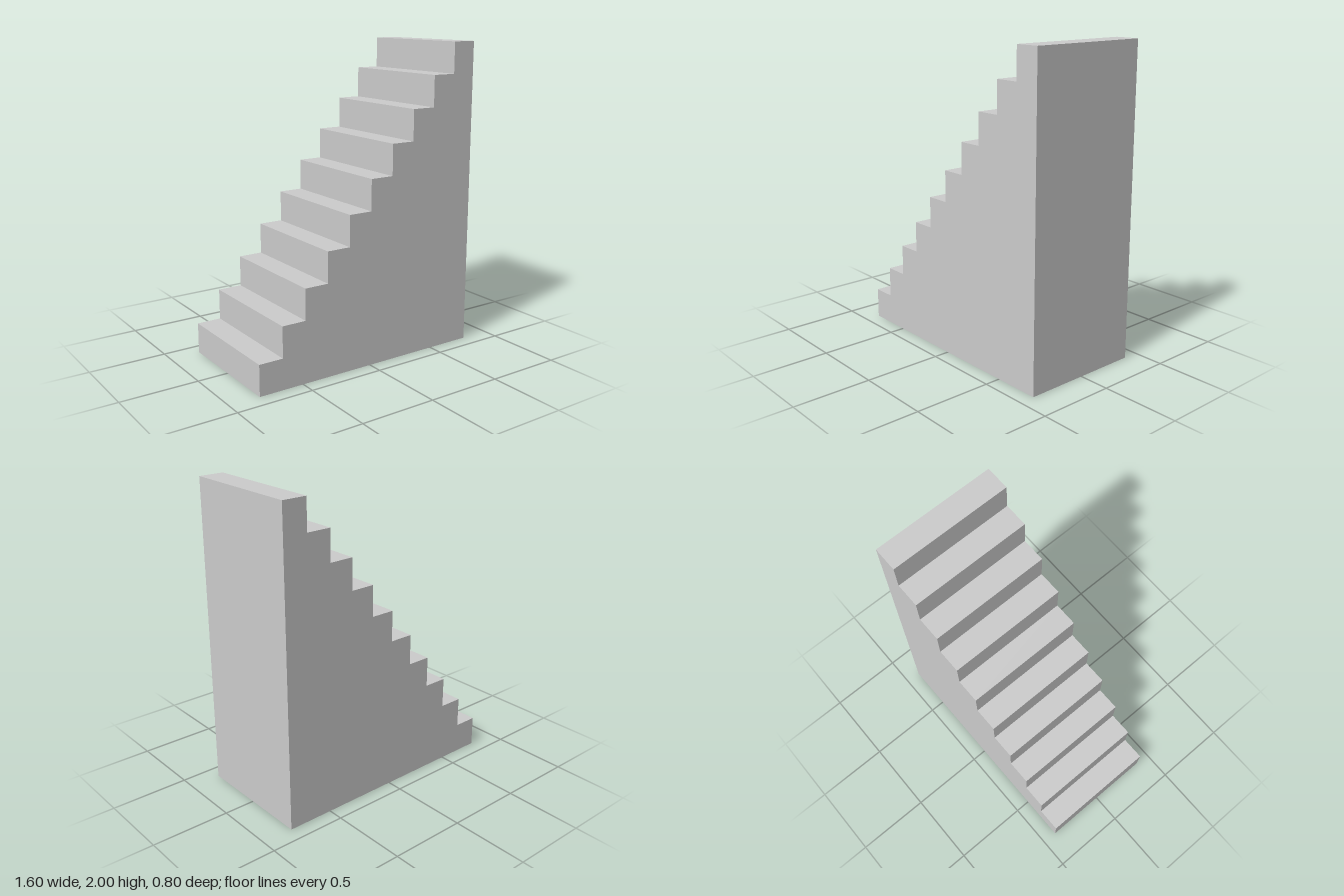
import * as THREE from 'three';

const STEPS = 10;
const TREAD = 0.16;
const RISER = 0.2;
const WIDTH = 0.8;

export function createModel() {
  const group = new THREE.Group();
  group.name = 'staircase';

  // Side profile: climbs from -x to +x, one riser and one tread per step
  const startX = -STEPS * TREAD / 2;
  const profile = new THREE.Shape();
  profile.moveTo(startX, 0);
  for (let i = 0; i < STEPS; i++) {
    profile.lineTo(startX + i * TREAD, (i + 1) * RISER);
    profile.lineTo(startX + (i + 1) * TREAD, (i + 1) * RISER);
  }
  profile.lineTo(-startX, 0);
  profile.closePath();

  // Solid flight of stairs, centred across its width
  const geometry = new THREE.ExtrudeGeometry(profile, { depth: WIDTH, bevelEnabled: false });
  geometry.translate(0, 0, -WIDTH / 2);

  const stairs = new THREE.Mesh(
    geometry,
    new THREE.MeshStandardMaterial({ color: 0xcccccc, flatShading: true })
  );
  stairs.name = 'solidStairs';
  group.add(stairs);

  return group;
}
